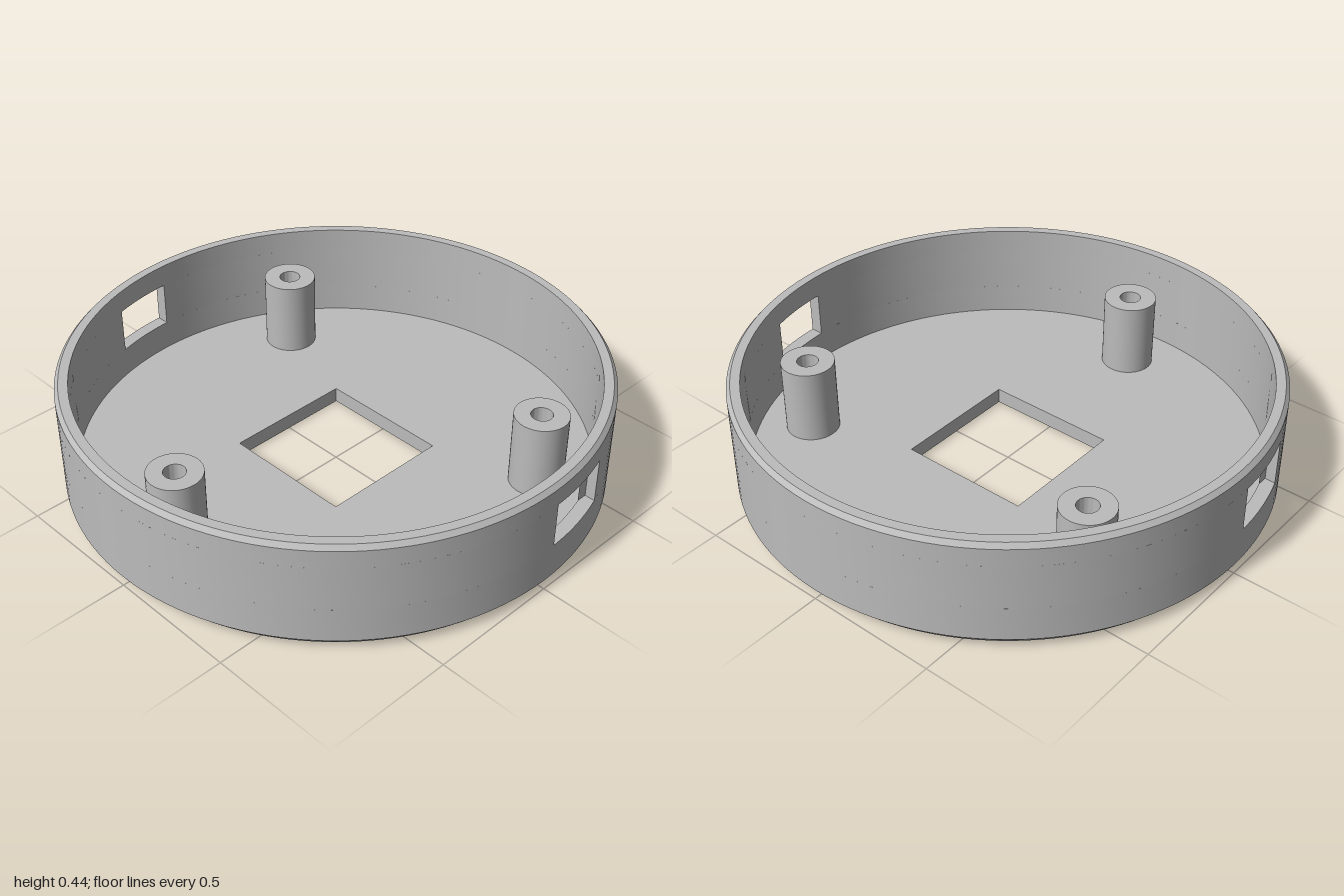
import * as THREE from 'three';
import { toCreasedNormals } from 'three/addons/utils/BufferGeometryUtils.js';

const SEG = 128;
const R = 1, R_IN = 0.95;            // wall radii
const FLOOR = 0.06, TOP = 0.437;     // floor thickness, rim height
const SLOT_LOW = 0.175, SLOT_HIGH = 0.35;

export function createModel() {
  const grey = new THREE.MeshStandardMaterial({ color: 0xbcbcbc });
  grey.name = 'grey plastic';
  const group = new THREE.Group();
  group.name = 'roundCase';

  const add = (name, geometry) => {
    const mesh = new THREE.Mesh(toCreasedNormals(geometry, 0.4), grey);
    mesh.name = name;
    group.add(mesh);
    return mesh;
  };
  const lathe = (points, seg = SEG) =>
    new THREE.LatheGeometry(points.map(([r, y]) => new THREE.Vector2(r, y)), seg);
  // extrudes a plan shape (x, -z) upward from y0 to y1
  const slab = (shape, y0, y1) =>
    new THREE.ExtrudeGeometry(shape, { depth: y1 - y0, bevelEnabled: false, curveSegments: SEG })
      .rotateX(-Math.PI / 2).translate(0, y0, 0);

  // floor with the central opening
  const plan = new THREE.Shape().absarc(0, 0, 0.965, 0, Math.PI * 2, false);
  const hx = 0.257, hz = 0.252;
  plan.holes.push(new THREE.Path([[-hx, -hz], [-hx, hz], [hx, hz], [hx, -hz]]
    .map(([x, y]) => new THREE.Vector2(x, y))));
  add('floor', slab(plan, 0, FLOOR));

  // wall below the slots, chamfered at the base
  add('lowerWall', lathe([[0.965, 0], [R, 0.04], [R, SLOT_LOW], [R_IN, SLOT_LOW], [R_IN, FLOOR]]));

  // wall above the slots, chamfered at the rim
  add('upperWall', lathe([[R_IN, SLOT_HIGH], [R, SLOT_HIGH], [R, 0.42], [0.985, TOP], [R_IN, TOP], [R_IN, SLOT_HIGH]]));

  // middle wall: two equal halves leave two opposite side slots
  const near = 0.03, far = 0.31, stop = 0.911;
  const arc = (r, a, b, n = SEG / 2) => Array.from({ length: n + 1 }, (_, i) => {
    const t = a + (b - a) * i / n;
    return new THREE.Vector2(r * Math.cos(t), r * Math.sin(t));
  });
  const half = new THREE.Shape([
    ...arc(R, Math.asin(far), Math.PI + Math.asin(near)),
    ...arc(R_IN, Math.PI + Math.asin(near / R_IN), Math.acos(stop / R_IN)),
    new THREE.Vector2(stop, far),
  ]);
  ['backMiddleWall', 'frontMiddleWall'].forEach((name, i) => {
    add(name, slab(half, SLOT_LOW, SLOT_HIGH)).rotation.y = i * Math.PI;
  });

  // three hollow screw posts
  for (let i = 0; i < 3; i++) {
    const a = i * Math.PI * 2 / 3;
    add('screwPost' + (i + 1), lathe([[0.1, FLOOR], [0.1, 0.35], [0.04, 0.35], [0.04, FLOOR]], 48))
      .position.set(0.75 * Math.sin(a), 0, 0.75 * Math.cos(a));
  }
  return group;
}
